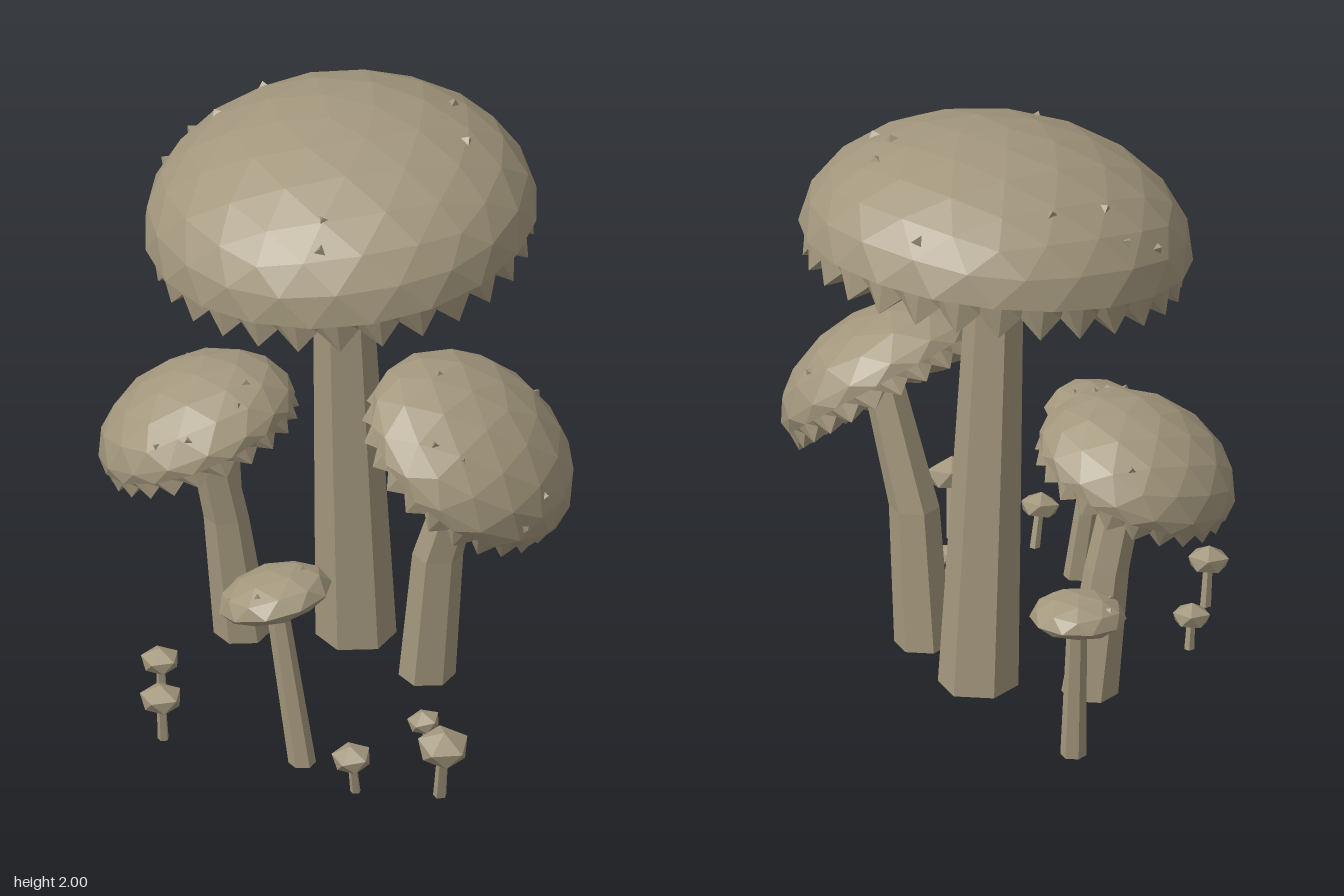
import * as THREE from 'three';

const tan = new THREE.MeshStandardMaterial({ color: 0xa3977d, flatShading: true });
tan.name = 'mushroomTan';
const tanThin = new THREE.MeshStandardMaterial({ color: 0xa3977d, flatShading: true, side: THREE.DoubleSide });
tanThin.name = 'mushroomTanThin';
const UP = new THREE.Vector3(0, 1, 0);

function part(name, geometry, material = tan) {
  const g = geometry.index ? geometry.toNonIndexed() : geometry;
  g.computeVertexNormals();
  const mesh = new THREE.Mesh(g, material);
  mesh.name = name;
  return mesh;
}

// Faceted stem through rings of [x, y, z, radius], bottom to top
function stem(rings, sides) {
  const n = rings.length - 1;
  const g = new THREE.CylinderGeometry(1, 1, 1, sides, n);
  const p = g.attributes.position;
  for (let i = 0; i < p.count; i++) {
    const [x, y, z, r] = rings[Math.round((p.getY(i) + 0.5) * n)];
    p.setXYZ(i, x + p.getX(i) * r, y, z + p.getZ(i) * r);
  }
  return part('stem', g);
}

// Icosphere dome with a flattened underside
function dome(R, h, detail, floor, shrink) {
  const g = new THREE.IcosahedronGeometry(1, detail);
  g.rotateX(-Math.atan((1 + Math.sqrt(5)) / 2));
  const p = g.attributes.position;
  for (let i = 0; i < p.count; i++) {
    const y = p.getY(i);
    const s = y < floor - 0.01 ? shrink : 1;
    p.setXYZ(i, p.getX(i) * R * s, Math.max(y, floor) * h, p.getZ(i) * R * s);
  }
  return part('capDome', g);
}

// Pleated gills: a zigzag skirt folding in toward the stem
function gills(R, teeth) {
  const n = teeth * 2, verts = [], idx = [];
  for (let i = 0; i < n; i++) {
    const a = (i / n) * Math.PI * 2, c = Math.cos(a) * R, s = Math.sin(a) * R;
    const tip = i % 2 === 0;
    const rows = [[0.965, 0.03], [tip ? 0.96 : 0.93, tip ? -0.17 : -0.065], [0.1, tip ? -0.04 : -0.01]];
    for (const [r, y] of rows) verts.push(c * r, y * R, s * r);
    const j = ((i + 1) % n) * 3, k = i * 3;
    for (let q = 0; q < 2; q++) idx.push(k + q, j + q, k + q + 1, j + q, j + q + 1, k + q + 1);
  }
  const g = new THREE.BufferGeometry();
  g.setAttribute('position', new THREE.Float32BufferAttribute(verts, 3));
  g.setIndex(idx);
  return part('gills', g, tanThin);
}

// Small pyramid warts at [u, v] on the dome
function warts(R, h, size, spots) {
  const group = new THREE.Group();
  group.name = 'warts';
  spots.forEach(([u, v], i) => {
    const y = Math.sqrt(Math.max(0.02, 1 - u * u - v * v));
    const m = part('wart', new THREE.ConeGeometry(size, size * 0.9, 3).rotateY(i * 1.3));
    m.position.set(u * R, y * h, v * R).multiplyScalar(0.99);
    m.quaternion.setFromUnitVectors(UP, new THREE.Vector3(u / R, y / h, v / R).normalize());
    group.add(m);
  });
  return group;
}

// Stem plus a tilted cap, with optional gills and warts
function mushroom({ name, at, axis, R, h, detail, floor = 0, shrink = 1, teeth, rings, sides = 6, wart, spots }) {
  const group = new THREE.Group();
  group.name = name;
  const cap = new THREE.Group();
  cap.name = 'cap';
  cap.position.set(...at);
  cap.quaternion.setFromUnitVectors(UP, new THREE.Vector3(...axis).normalize());
  cap.add(dome(R, h, detail, floor, shrink));
  if (teeth) cap.add(gills(R, teeth));
  if (spots) cap.add(warts(R, h, wart, spots));
  group.add(stem(rings, sides), cap);
  return group;
}

export function createModel() {
  const model = new THREE.Group();
  model.name = 'mushroomCluster';

  // Three large mushrooms with pleated gills
  model.add(mushroom({
    name: 'tallMushroom', at: [-0.07, 1.6, -0.175], axis: [-0.04, 1, 0.12], R: 0.66, h: 0.4, detail: 3, teeth: 28,
    rings: [[-0.05, 0, -0.245, 0.135], [-0.07, 1.6, -0.17, 0.092]], wart: 0.042,
    spots: [[-0.14, -0.9], [-0.6, -0.4], [-0.88, -0.1], [-0.72, -0.1], [-0.93, 0.1],
      [0.41, -0.55], [0.46, -0.36], [0.63, -0.27], [0.26, 0.63], [0.3, 0.76]],
  }));
  model.add(mushroom({
    name: 'leftLeaningMushroom', at: [0.465, 0.9, -0.055], axis: [0.6, 0.8, 0], R: 0.39, h: 0.25, detail: 2, teeth: 24,
    rings: [[0.29, 0, -0.1, 0.095], [0.34, 0.48, -0.08, 0.085], [0.475, 0.92, -0.08, 0.07]], wart: 0.024,
    spots: [[-0.23, 0.74], [0.04, 0.69], [0.75, 0.17], [0.04, -0.79], [0.83, 0.45], [-0.65, 0.1]],
  }));
  model.add(mushroom({
    name: 'rightLeaningMushroom', at: [-0.495, 0.795, 0.03], axis: [-0.36, 0.92, 0.12], R: 0.35, h: 0.235, detail: 2, teeth: 22,
    rings: [[-0.39, 0, -0.08, 0.095], [-0.43, 0.45, -0.04, 0.075], [-0.475, 0.8, 0.02, 0.068]], wart: 0.024,
    spots: [[0.1, 0.86], [0.42, 0.78], [0.78, 0.3], [0.75, 0], [-0.3, -0.7]],
  }));

  // Two small mushrooms with flat undersides
  const small = { detail: 1, floor: -0.3, shrink: 0.95, wart: 0.015 };
  model.add(mushroom({
    ...small, name: 'smallBackMushroom', at: [-0.675, 0.515, -0.525], axis: [0, 1, 0.03], R: 0.162, h: 0.085,
    rings: [[-0.645, 0, -0.51, 0.044], [-0.675, 0.51, -0.53, 0.033]], spots: [[-0.75, 0.1], [-0.4, 0.6]],
  }));
  model.add(mushroom({
    ...small, name: 'smallFrontMushroom', at: [0.1, 0.6, 0.635], axis: [-0.26, 0.96, 0.02], R: 0.195, h: 0.1,
    rings: [[0.2, 0, 0.635, 0.046], [0.1, 0.6, 0.635, 0.037]], spots: [[0.5, -0.3], [0.1, 0.7], [-0.5, 0.65]],
  }));

  // Tiny mushrooms: cap x, y, z, radius, lean x, lean z
  const tiny = [
    [0.742, 0.195, 0.665, 0.098, 0.15, 0.17],
    [0.45, 0.13, 0.76, 0.075, 0, 0.2],
    [0.51, 0.085, 0.35, 0.062, -0.1, 0.15],
    [-0.285, 0.15, 0.715, 0.08, 0, 0.1],
    [-0.447, 0.105, 0.405, 0.073, 0, 0.1],
  ];
  tiny.forEach(([x, y, z, R, lx, lz], i) => model.add(mushroom({
    name: `tinyMushroom${i + 1}`, at: [x, y, z], axis: [lx, 1, lz], R, h: R * 0.78, detail: 0, floor: -0.25, shrink: 0.85,
    rings: [[x - lx * y, 0, z - lz * y, R * 0.24], [x, y, z, R * 0.2]], sides: 5,
  })));
  return model;
}
